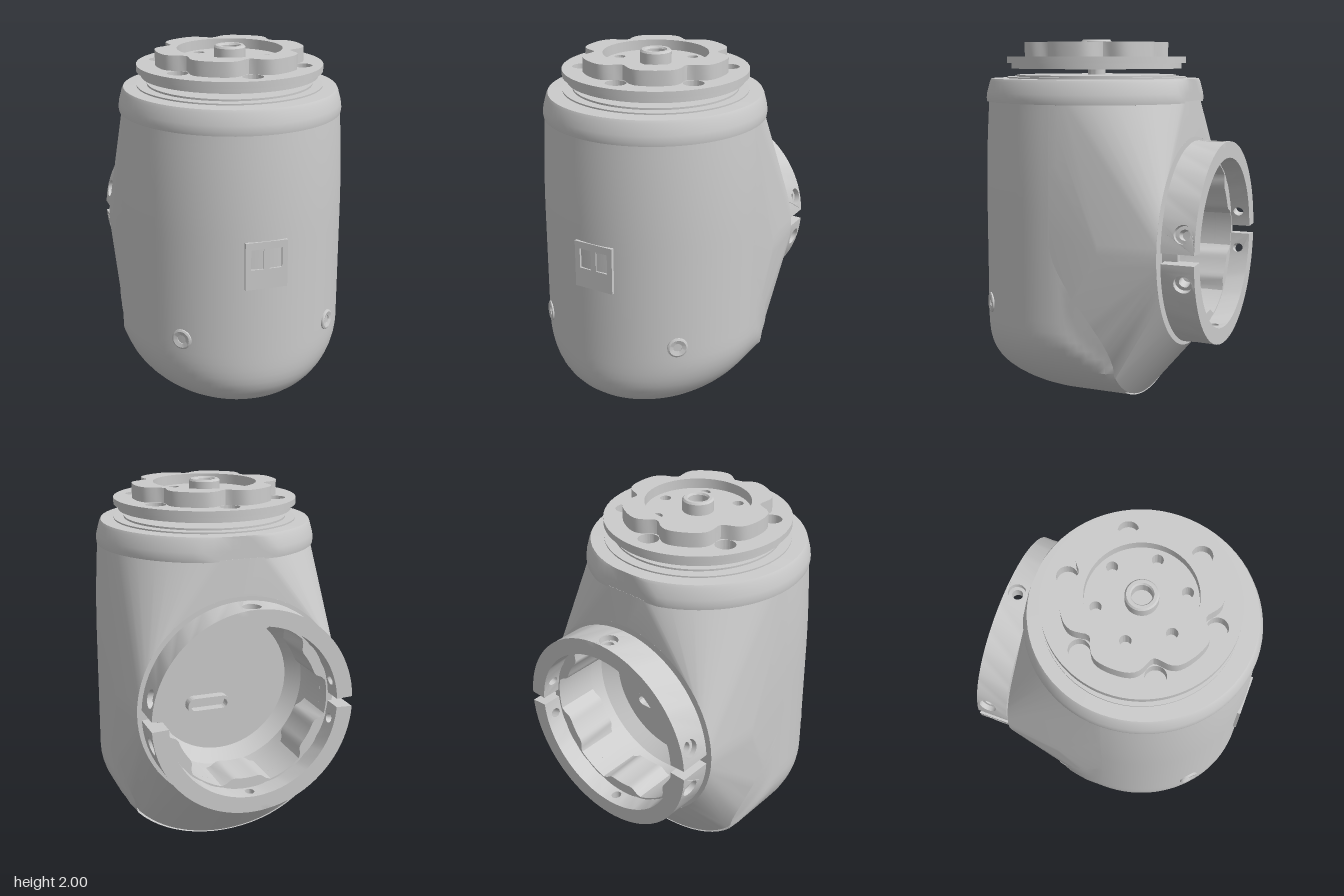
import * as THREE from 'three';
import { mergeGeometries, toCreasedNormals } from 'three/addons/utils/BufferGeometryUtils.js';
import { ConvexGeometry } from 'three/addons/geometries/ConvexGeometry.js';

const AXIS_Z = 0.07;   // vertical joint axis
const HUB_Y = 0.89;    // horizontal joint axis
const { lerp, smoothstep } = THREE.MathUtils;
const grey = new THREE.MeshStandardMaterial({ color: 0xcccccc, side: THREE.DoubleSide });

function add(parent, name, geometry, x = 0, y = 0, z = 0) {
  const mesh = new THREE.Mesh(toCreasedNormals(geometry, 0.6), grey);
  mesh.name = name;
  mesh.position.set(x, y, z);
  parent.add(mesh);
  return mesh;
}

function circle(Type, r, x = 0, y = 0) {
  return new Type().absarc(x, y, r, 0, Math.PI * 2, false);
}

// Closed outline whose radius is a function of the angle
function polar(Type, radius, n = 120) {
  const path = new Type();
  for (let i = 0; i < n; i++) {
    const t = (i / n) * Math.PI * 2, r = radius(t);
    path[i ? 'lineTo' : 'moveTo'](r * Math.cos(t), r * Math.sin(t));
  }
  path.closePath();
  return path;
}

// Slot outline with round ends
function stadium(Type, half, r) {
  const path = new Type().absarc(half, 0, r, -Math.PI / 2, Math.PI / 2, false);
  return path.absarc(-half, 0, r, Math.PI / 2, Math.PI * 1.5, false);
}

function extrude(shape, depth, holes = [], curveSegments = 40) {
  shape.holes.push(...holes);
  return new THREE.ExtrudeGeometry(shape, { depth, bevelEnabled: false, curveSegments });
}

const lathe = (pts, n = 72) => new THREE.LatheGeometry(pts.map(p => new THREE.Vector2(...p)), n);
const holeRing = (count, r, dist, start) => Array.from({ length: count }, (_, i) => {
  const t = start + (i / count) * Math.PI * 2;
  return circle(THREE.Path, r, dist * Math.cos(t), dist * Math.sin(t));
});

// Body cross-section at height y, from the +x seam round the front to the -x seam
const bodyRadius = y => 0.62 - 0.02 * Math.max(0, (y - 1.1) / 0.56) ** 2;
function bodyRow(y) {
  const r = bodyRadius(y);
  const s = y < 0.45 ? Math.sqrt(Math.max(0, 1 - ((0.45 - y) / 0.45) ** 2)) : 1;
  const width = r * s, depth = lerp(0.22, r + 0.01, smoothstep(s, 0.15, 1));
  const seam = lerp(-0.26, 0.075, smoothstep(y, 0.25, 0.95));
  const side = [], front = [];
  for (let i = 0; i < 8; i++) {
    const z = lerp(seam, AXIS_Z, i / 8);
    side.push([Math.min(width, Math.sqrt(r * r - (z - AXIS_Z) ** 2)), z]);
  }
  for (let i = 0; i <= 48; i++) {
    const t = (i / 48) * Math.PI;
    front.push([width * Math.cos(t), AXIS_Z + depth * Math.sin(t)]);
  }
  return [...side, ...front, ...side.map(([x, z]) => [-x, z]).reverse()];
}

const rowHeights = [];
for (let i = 0; i < 16; i++) rowHeights.push(0.45 * (1 - Math.cos((i / 16) * Math.PI / 2)));
for (let i = 0; i <= 22; i++) rowHeights.push(lerp(0.45, 1.66, i / 22));

// Front shell: rows of sections, its flanks laid just over the rear housing
function frontShell(housing) {
  const pos = [], index = [], n = bodyRow(1).length;
  const ray = new THREE.Raycaster(), inward = new THREE.Vector3(-1, 0, 0);
  const overHousing = (x, y, z) => {
    ray.set(new THREE.Vector3(1, y, z), inward);
    const hit = ray.intersectObject(housing)[0];
    return hit ? Math.sign(x) * Math.max(Math.abs(x), hit.point.x + 0.006) : x;
  };
  rowHeights.forEach((y, i) => {
    bodyRow(y).forEach(([x, z], j) => {
      const flank = (j < 8 || j >= n - 8) && y > 0.05;
      pos.push(flank ? overHousing(x, y, z) : x, y, z);
    });
    if (!i) return;
    for (let j = 0; j < n - 1; j++) {
      const a = (i - 1) * n + j;
      index.push(a, a + n, a + 1, a + 1, a + n, a + n + 1);
    }
  });
  const g = new THREE.BufferGeometry();
  g.setAttribute('position', new THREE.Float32BufferAttribute(pos, 3));
  g.setIndex(index);
  g.computeVertexNormals();
  return g;
}

// Rear housing: hull of the upright body and the round rear mouth, open at the mouth
function rearHousing() {
  const pts = [], k = 0.98;
  rowHeights.filter((y, i) => y < 0.46 || i % 3 === 2).forEach(y => {
    bodyRow(y).forEach(([x, z]) =>
      pts.push(new THREE.Vector3(x * k, y + 0.006, Math.min(z, AXIS_Z + (z - AXIS_Z) * k))));
    if (y < 0.95) return;
    for (let i = 1; i < 48; i++) {
      const t = Math.PI * (1 + i / 48), r = bodyRadius(y) * k;
      pts.push(new THREE.Vector3(r * Math.cos(t), y + 0.006,
        Math.max(-0.505, AXIS_Z + r * Math.sin(t))));
    }
  });
  for (const [r, z] of [[0.612, -0.2], [0.583, -0.485], [0.58, -0.515]]) {
    for (let i = 0; i < 72; i++) {
      const t = (i / 72) * Math.PI * 2;
      pts.push(new THREE.Vector3(r * Math.cos(t), HUB_Y + r * Math.sin(t), z));
    }
  }
  const p = new ConvexGeometry(pts).getAttribute('position'), kept = [];
  for (let i = 0; i < p.count; i += 3) {
    if ([0, 1, 2].every(c => p.getZ(i + c) < -0.512)) continue;
    for (let c = 0; c < 3; c++) kept.push(p.getX(i + c), p.getY(i + c), p.getZ(i + c));
  }
  const g = new THREE.BufferGeometry();
  g.setAttribute('position', new THREE.Float32BufferAttribute(kept, 3));
  g.computeVertexNormals();
  return g;
}

// Collar: turned profile, a little fuller in front and flat where it meets the rear face
function topCollar() {
  const g = lathe([[0.55, 1.655], [0.603, 1.658], [0.606, 1.68], [0.602, 1.71], [0.586, 1.77],
    [0.578, 1.785], [0.505, 1.787], [0.505, 1.795], [0.45, 1.795], [0.45, 1.805], [0, 1.805]]);
  const p = g.getAttribute('position');
  for (let i = 0; i < p.count; i++) {
    const z = p.getZ(i);
    if (p.getY(i) < 1.786) p.setZ(i, z > 0 ? z * 1.035 : Math.max(-0.574, z));
  }
  g.computeVertexNormals();
  return g;
}

// Half clamp ring: flat tiles with countersunk screw holes, bent round the axis
function clampHalf() {
  const tiles = [], start = 0.05, count = 11, step = (Math.PI - 2 * start) / count, R = 0.56;
  for (const [r0, thick, hole] of [[0.47, 0.06, 0.03], [0.53, 0.03, 0.05]]) {
    for (let i = 0; i < count; i++) {
      const s0 = (start + i * step) * R, s1 = s0 + step * R;
      const shape = new THREE.Shape();
      for (let j = 0; j <= 4; j++) shape[j ? 'lineTo' : 'moveTo'](lerp(s0, s1, j / 4), -0.71);
      for (let j = 4; j >= 0; j--) shape.lineTo(lerp(s0, s1, j / 4), -0.53);
      const shift = i === 0 ? 0.025 : i === count - 1 ? -0.025 : 0;
      const holes = [0, 5, 10].includes(i)
        ? [circle(THREE.Path, hole, (s0 + s1) / 2 + shift, -0.645)] : [];
      const g = extrude(shape, thick, holes, 10), p = g.getAttribute('position');
      for (let v = 0; v < p.count; v++) {
        const t = p.getX(v) / R, r = r0 + p.getZ(v);
        p.setXYZ(v, r * Math.cos(t), r * Math.sin(t), p.getY(v));
      }
      g.computeVertexNormals();
      tiles.push(g);
    }
  }
  return mergeGeometries(tiles);
}

export function createModel() {
  const model = new THREE.Group();
  model.name = 'robotJoint';

  // Housing
  const housing = add(model, 'rearHousing', rearHousing());
  add(model, 'frontShell', frontShell(housing));
  add(model, 'topCollar', topCollar(), 0, 0, AXIS_Z);

  // Output flange on top: plates, lobed hub with a recessed floor, centre boss
  const flange = new THREE.Group();
  flange.name = 'outputFlange';
  flange.position.z = AXIS_Z;
  model.add(flange);
  const smallHoles = () => holeRing(6, 0.03, 0.23, 0);
  const plateHoles = () => [...holeRing(6, 0.055, 0.395, Math.PI / 2), ...smallHoles()];
  const scallop = t => {
    const sector = Math.PI / 3, d = (t + sector) % sector - sector / 2;
    return 0.405 - 0.075 * Math.exp(-((d / 0.17) ** 2));
  };
  for (const [name, shape, y, h, holes] of [
    ['flangeStep', circle(THREE.Shape, 0.48), 1.84, 0.03, plateHoles()],
    ['flangePlate', circle(THREE.Shape, 0.505), 1.87, 0.035, plateHoles()],
    ['scallopedHub', polar(THREE.Shape, scallop), 1.9, 0.085, [circle(THREE.Path, 0.285)]],
    ['hubFloor', circle(THREE.Shape, 0.29), 1.9, 0.03, smallHoles()],
  ]) add(flange, name, extrude(shape, h, holes), 0, y, 0).rotation.x = -Math.PI / 2;
  add(flange, 'centreBoss', lathe([[0.085, 1.9], [0.085, 1.99], [0.077, 2], [0.06, 2], [0.053, 1.99], [0.053, 1.9]], 40));
  add(flange, 'centrePost', new THREE.CylinderGeometry(0.05, 0.05, 0.05, 32), 0, 1.82, 0);

  // Rear joint mouth
  const mouth = new THREE.Group();
  mouth.name = 'rearJoint';
  mouth.position.y = HUB_Y;
  model.add(mouth);
  const clamp = clampHalf();
  add(mouth, 'upperClampHalf', clamp);
  add(mouth, 'lowerClampHalf', clamp).rotation.z = Math.PI;
  add(mouth, 'mouthFace', extrude(circle(THREE.Shape, 0.58), 0.015, [circle(THREE.Path, 0.46)]), 0, 0, -0.515);
  const relief = t => 0.41 + 0.05 * smoothstep(Math.cos(6 * t), -0.5, 0.3);
  add(mouth, 'mouthLiner', extrude(circle(THREE.Shape, 0.495), 0.25, [polar(THREE.Path, relief)]), 0, 0, -0.6);
  add(mouth, 'cavity', lathe([[0.47, -0.36], [0.47, -0.25], [0.4, -0.18], [0, -0.18]])).rotation.x = Math.PI / 2;
  add(mouth, 'cableSlot', extrude(stadium(THREE.Shape, 0.08, 0.045), 0.06, [stadium(THREE.Path, 0.08, 0.027)]),
    0.08, -0.11, -0.235);

  // Front socket with two small openings
  const corners = (x0, y0, x1, y1) => [[x0, y0], [x1, y0], [x1, y1], [x0, y1]].map(p => new THREE.Vector2(...p));
  const windows = [-0.05, 0.05].map(x => new THREE.Path(corners(x - 0.035, -0.02, x + 0.035, 0.09)));
  add(model, 'frontSocket', extrude(new THREE.Shape(corners(-0.115, -0.13, 0.115, 0.13)), 0.03, windows), 0, 0.97, 0.677);

  // Front screw seats
  for (const side of [-1, 1]) {
    const z = Math.sqrt(0.62 ** 2 - 0.41 ** 2);
    const seat = add(model, 'screwSeat', lathe([[0.024, -0.01], [0.024, 0.01], [0.046, 0.017], [0.056, 0.012],
      [0.058, -0.02]], 32), side * 0.41, 0.53, AXIS_Z + z);
    seat.quaternion.setFromUnitVectors(new THREE.Vector3(0, 1, 0), new THREE.Vector3(side * 0.41, 0, z).normalize());
  }
  return model;
}
